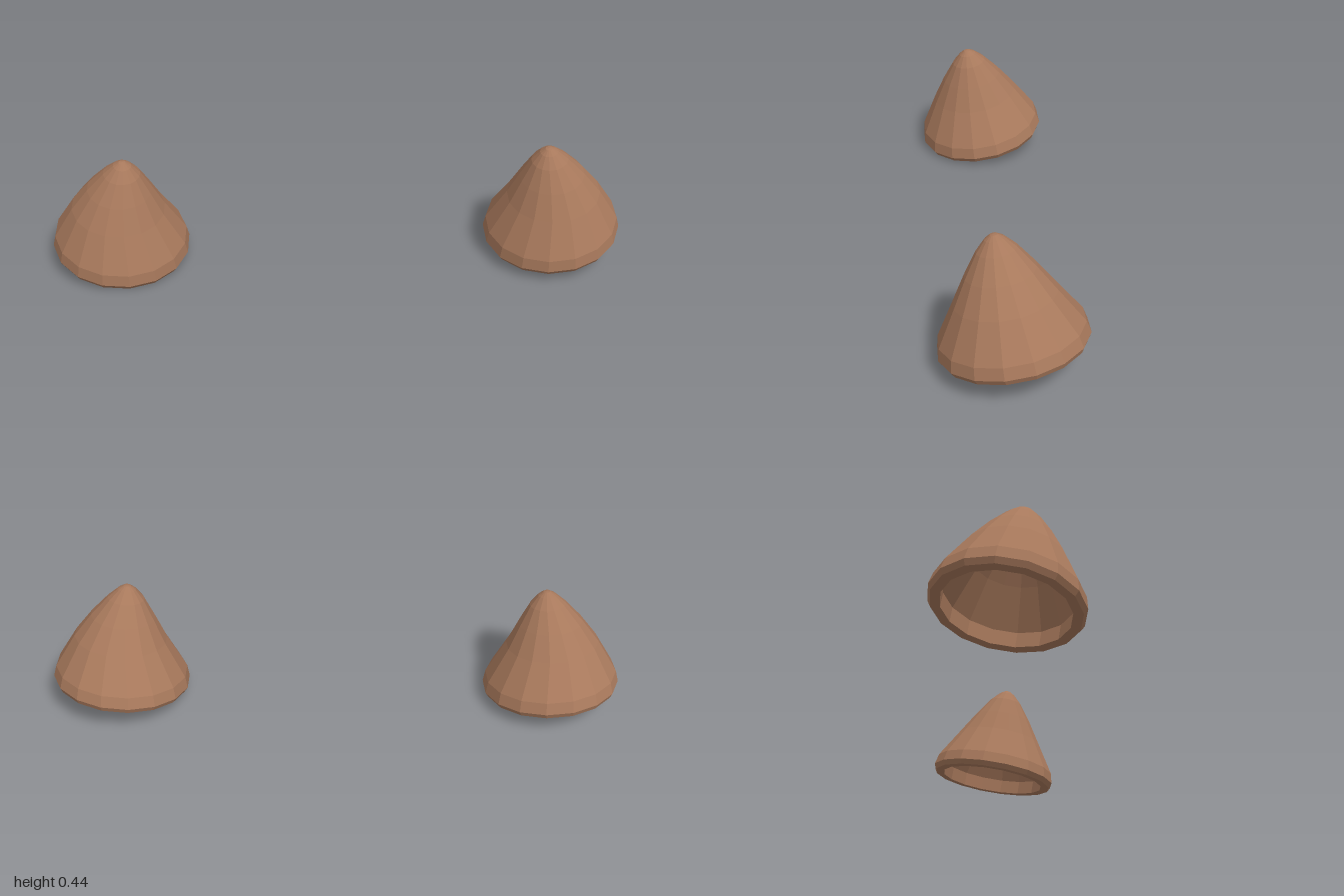
import * as THREE from 'three';

const SIDES = 16;
const HEIGHT = 0.376;

// Closed hollow profile [radius, height]: inner tip, down the inside, around the rim, up the outside
const PROFILE = [
  [0, 0.34], [0.045, 0.305], [0.09, 0.24], [0.138, 0.17], [0.198, 0.05], [0.198, 0],
  [0.229, 0], [0.239, 0.018], [0.23, 0.058], [0.161, 0.176], [0.111, 0.258],
  [0.063, 0.327], [0.031, 0.361], [0.012, 0.374], [0, HEIGHT],
];

// Hollow cone whose middle bows sideways while rim and tip stay on the axis
function coneGeometry(bow) {
  const points = PROFILE.map(([r, h]) => new THREE.Vector2(r, h));
  const geometry = new THREE.LatheGeometry(points, SIDES, Math.PI / SIDES);
  const pos = geometry.attributes.position;
  for (let i = 0; i < pos.count; i++) {
    const s = Math.sin(Math.PI * pos.getY(i) / HEIGHT);
    pos.setX(i, pos.getX(i) + bow * s * s);
  }
  geometry.computeVertexNormals();
  return geometry;
}

export function createModel() {
  const model = new THREE.Group();
  model.name = 'earPair';
  const brown = new THREE.MeshStandardMaterial({ color: 0xa8795c, flatShading: true });
  brown.name = 'warm brown';

  // The two ears lean inward and forward, almost mirrored
  const ears = [
    { name: 'leftEar', at: [0.763, 0.073, 0.006], lean: [-0.125, 1, 0.165], bow: 0.013 },
    { name: 'rightEar', at: [-0.765, 0.043, -0.012], lean: [0.1, 1, 0.165], bow: -0.013 },
  ];
  const up = new THREE.Vector3(0, 1, 0);
  for (const { name, at, lean, bow } of ears) {
    const ear = new THREE.Mesh(coneGeometry(bow), brown);
    ear.name = name;
    ear.position.set(...at);
    ear.quaternion.setFromUnitVectors(up, new THREE.Vector3(...lean).normalize());
    model.add(ear);
  }
  return model;
}
